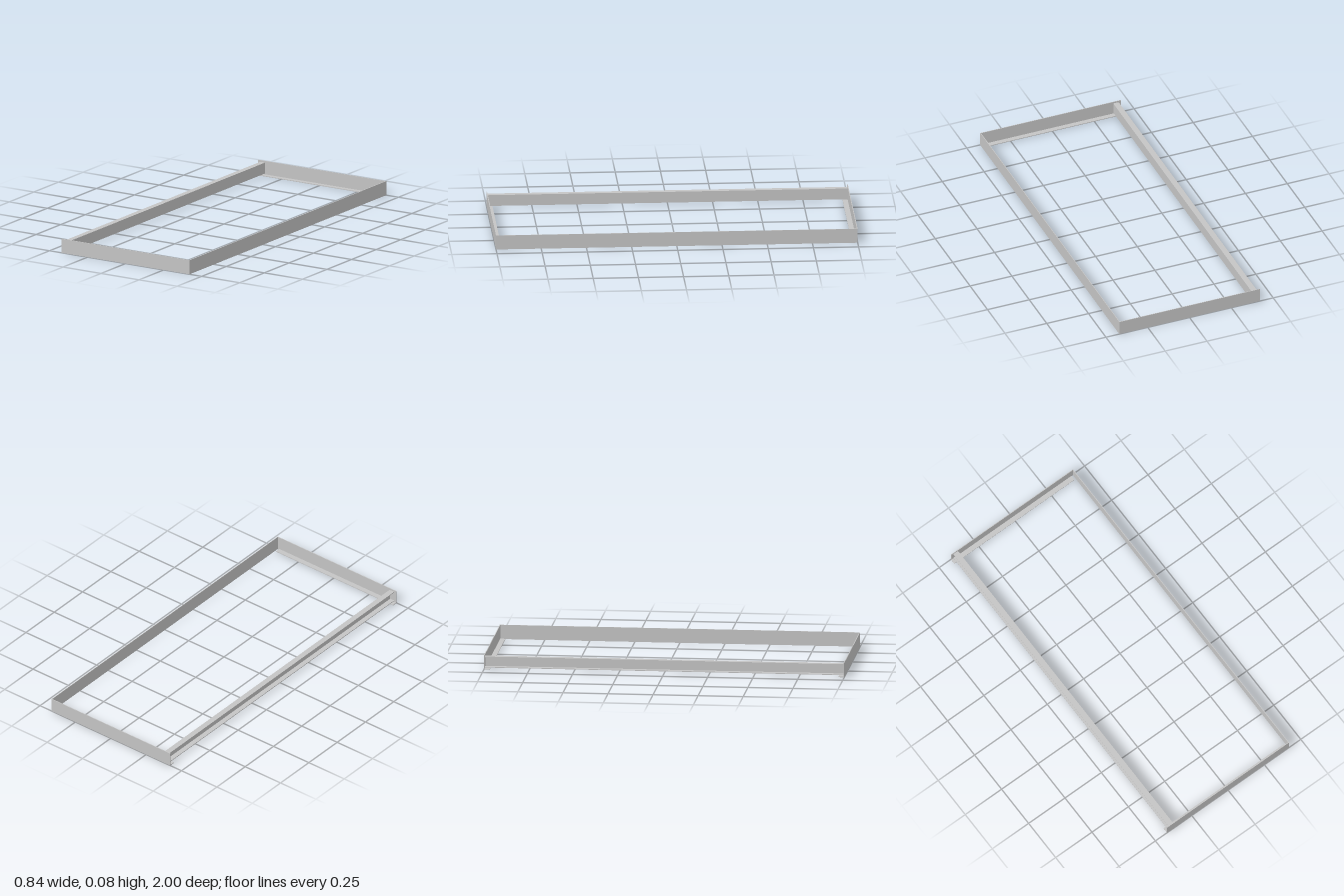
import * as THREE from 'three';

const steel = new THREE.MeshStandardMaterial({ color: 0xc4c4c4 });
steel.name = 'galvanised grey';

const T = 0.004; // sheet thickness

// Extrudes a closed section, given as [a, b] points, along its local z.
function profile(name, points, length) {
  const shape = new THREE.Shape(points.map(([a, b]) => new THREE.Vector2(a, b)));
  const geometry = new THREE.ExtrudeGeometry(shape, { depth: length, bevelEnabled: false });
  geometry.translate(0, 0, -length / 2);
  const mesh = new THREE.Mesh(geometry, steel);
  mesh.name = name;
  return mesh;
}

export function createModel() {
  const group = new THREE.Group();
  group.name = 'frame';

  // Angle rails at both ends: upright wall outside, foot flange turned inward
  const H = 0.08, foot = 0.032;
  const angle = [[0, 0], [foot, 0], [foot, T], [T, T], [T, H], [0, H]];
  for (const side of [1, -1]) {
    const rail = profile(side > 0 ? 'frontAngleRail' : 'backAngleRail', angle, 0.826);
    // the section's first axis points from the wall towards the centre
    rail.rotation.y = side * Math.PI / 2;
    rail.position.set(-0.007, 0, side);
    group.add(rail);
  }

  // Flat side plate closing the +x side
  const plate = new THREE.Mesh(new THREE.BoxGeometry(T, H, 2), steel);
  plate.name = 'sidePlate';
  plate.position.set(0.42 - T / 2, H / 2, 0);
  group.add(plate);

  // Short wall returns joining the rails to the plate
  for (const side of [1, -1]) {
    const tab = new THREE.Mesh(new THREE.BoxGeometry(0.01, H, T), steel);
    tab.name = 'cornerReturn';
    tab.position.set(0.411, H / 2, side * (1 - T / 2));
    group.add(tab);
  }

  // C channel on the -x side, open outward, resting just above the feet
  const w = 0.032, y0 = 0.009, y1 = 0.071;
  const channel = profile('sideChannel', [
    [0, y0], [w, y0], [w, y1], [0, y1],
    [0, y1 - T], [w - T, y1 - T], [w - T, y0 + T], [0, y0 + T],
  ], 2 - 2 * T);
  channel.position.x = -0.406;
  group.add(channel);

  return group;
}
